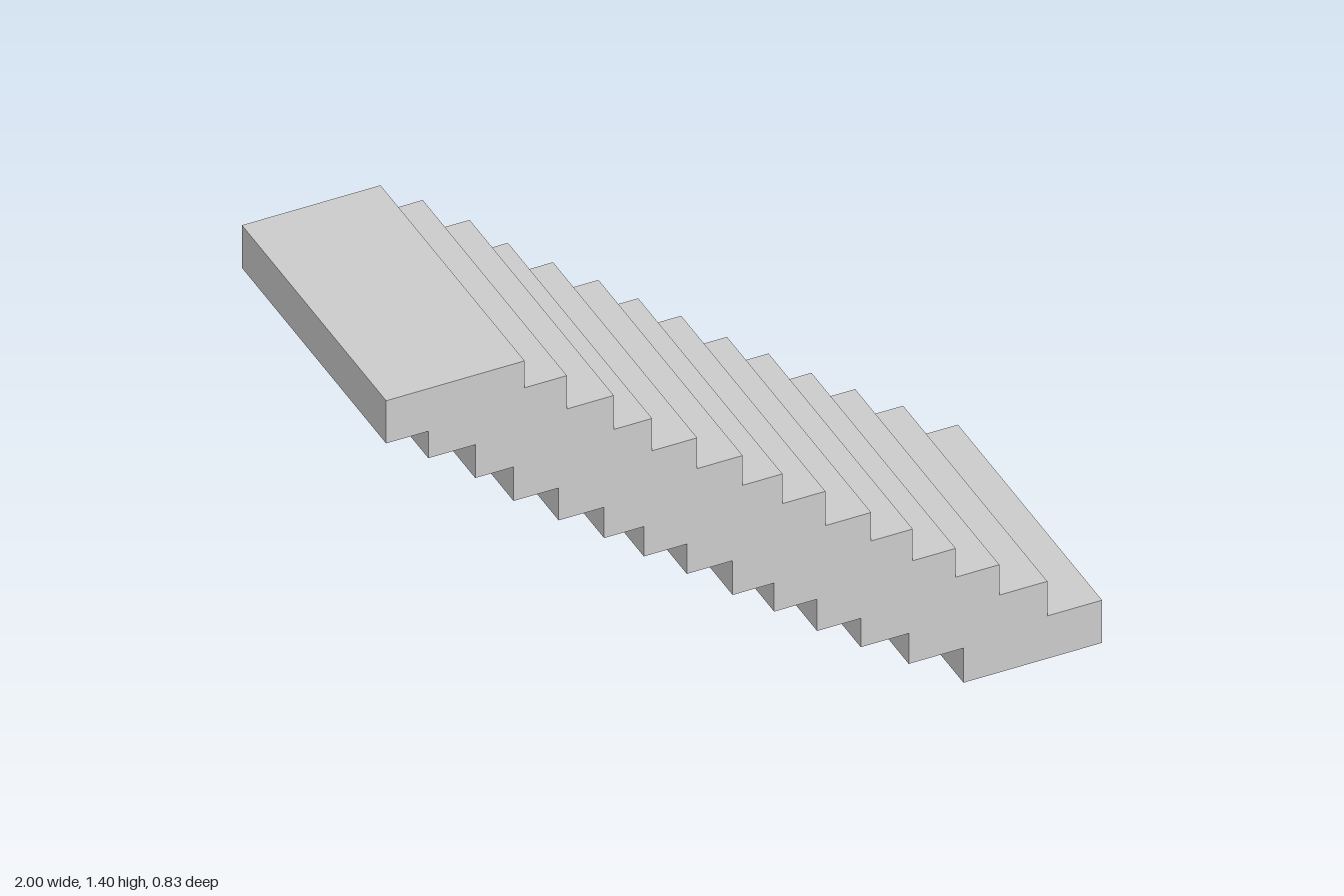
import * as THREE from 'three';

// Front edge and tread height of every step, from the top landing down
const STEPS = [
  [-0.613, 1.398], [-0.495, 1.314], [-0.364, 1.21], [-0.257, 1.104], [-0.131, 1.003],
  [-0.004, 0.907], [0.107, 0.814], [0.227, 0.721], [0.355, 0.614], [0.471, 0.525],
  [0.591, 0.426], [0.713, 0.336], [0.847, 0.241], [1, 0.133],
];
const RUN = 0.387;   // full length of one step slab
const THICK = 0.133; // slab thickness
const WIDTH = 0.828; // width of the flight

export function createModel() {
  const group = new THREE.Group();
  group.name = 'staircase';

  const outline = [];
  // Underside, from the foot up: the tread line shifted back and down
  for (let i = STEPS.length - 1; i >= 0; i--) {
    const [x, y] = STEPS[i];
    outline.push(new THREE.Vector2(x - RUN, y - THICK));
    if (i > 0) outline.push(new THREE.Vector2(STEPS[i - 1][0] - RUN + (x - STEPS[i - 1][0]), STEPS[i - 1][1] - THICK));
  }
  // Back end of the top landing
  outline.push(new THREE.Vector2(STEPS[0][0] - RUN, STEPS[0][1]));
  // Treads and risers, from the landing down
  STEPS.forEach(([x, y], i) => {
    outline.push(new THREE.Vector2(x, y));
    if (i < STEPS.length - 1) outline.push(new THREE.Vector2(x, STEPS[i + 1][1]));
  });
  // Front end of the lowest step
  const [footX, footY] = STEPS[STEPS.length - 1];
  outline.push(new THREE.Vector2(footX, footY - THICK));

  const geometry = new THREE.ExtrudeGeometry(new THREE.Shape(outline), {
    depth: WIDTH,
    bevelEnabled: false,
  });
  geometry.translate(0, 0, -WIDTH / 2);

  const material = new THREE.MeshStandardMaterial({ color: 0xcccccc, flatShading: true });
  const flight = new THREE.Mesh(geometry, material);
  flight.name = 'stairFlight';
  group.add(flight);
  return group;
}
